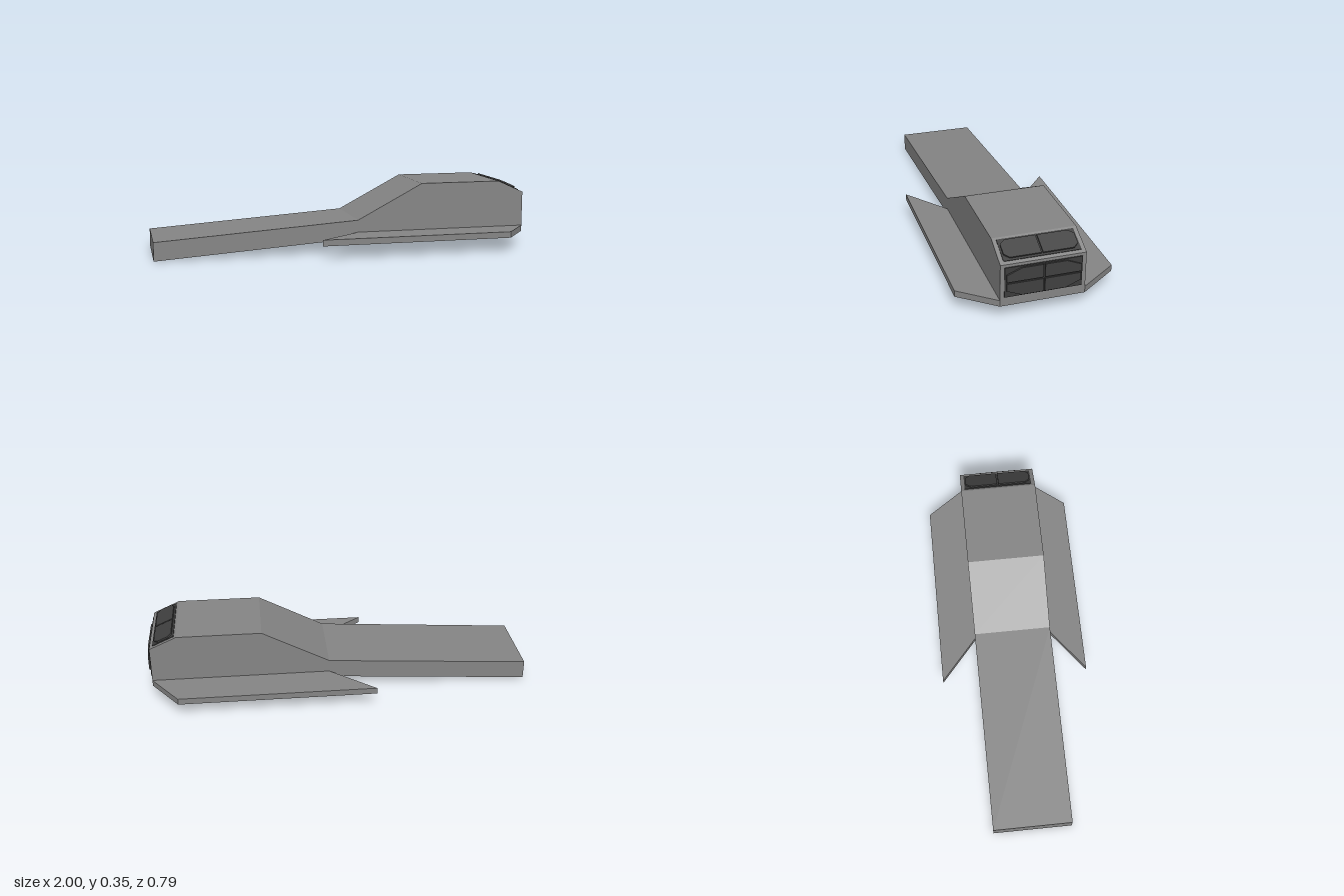
import * as THREE from 'three';

const grey = new THREE.MeshStandardMaterial({ color: 0x858585, flatShading: true });
const frameMat = new THREE.MeshStandardMaterial({ color: 0x3b3b3b, flatShading: true });
const glassMat = new THREE.MeshStandardMaterial({ color: 0x404040, flatShading: true });

const Z_MID = 0.01; // centre plane of the hull
const HALF = 0.207; // half width of the hull

function prism(name, points, depth, material) {
  const shape = new THREE.Shape(points.map(([x, y]) => new THREE.Vector2(x, y)));
  const geo = new THREE.ExtrudeGeometry(shape, { depth, bevelEnabled: false });
  const mesh = new THREE.Mesh(geo, material);
  mesh.name = name;
  return mesh;
}

// Framed window facing local +z: a flat panel with raised, corner-cut panes
function framedWindow(name, width, height, paneW, paneH, cutX, cutY, rows) {
  const group = new THREE.Group();
  group.name = name;
  const panel = new THREE.Mesh(new THREE.BoxGeometry(width, height, 0.01), frameMat);
  panel.name = 'windowFrame';
  group.add(panel);
  const w = paneW / 2, h = paneH / 2, gap = 0.004;
  for (const sx of [-1, 1]) {
    for (const sy of rows === 2 ? [-1, 1] : [1]) {
      const top = [[w, h - cutY], [w - cutX, h], [gap, h]];
      const bottom = rows === 2
        ? [[gap, gap], [w, gap]]
        : [[gap, -h], [w - cutX, -h], [w, cutY - h]];
      const pane = prism('windowPane', [...bottom, ...top].map(([x, y]) => [x * sx, y * sy]), 0.008, glassMat);
      pane.position.z = 0.005;
      group.add(pane);
    }
  }
  return group;
}

export function createModel() {
  const model = new THREE.Group();

  // Hull: side profile with cabin and long sloping tail
  const hull = prism('hull', [
    [-1, 0], [0.06, 0.073], [0.987, 0.073], [0.987, 0.29],
    [0.847, 0.353], [0.41, 0.353], [0.06, 0.169], [-1, 0.097],
  ], HALF * 2, grey);
  hull.position.z = Z_MID - HALF;
  model.add(hull);

  // Swept side wings, flush with the underside
  for (const side of [1, -1]) {
    const root = Z_MID + side * HALF, tip = side * 0.393;
    const wing = prism(side > 0 ? 'frontWing' : 'backWing', [
      [0.06, -root], [-0.17, -tip], [0.848, -tip], [0.987, -root],
    ], 0.032, grey);
    wing.rotation.x = -Math.PI / 2;
    wing.position.y = 0.073;
    model.add(wing);
  }

  // Nose window
  const nose = framedWindow('noseWindow', 0.374, 0.155, 0.358, 0.142, 0.072, 0.03, 2);
  nose.rotation.y = Math.PI / 2;
  nose.position.set(0.987, 0.198, Z_MID);
  model.add(nose);

  // Window on the sloping edge above the nose
  const slope = framedWindow('slopeWindow', 0.374, 0.122, 0.358, 0.1, 0.025, 0.022, 1);
  slope.rotation.set(-Math.atan2(0.14, 0.063), Math.PI / 2, 0, 'YXZ');
  slope.position.set(0.914, 0.321, Z_MID);
  model.add(slope);

  return model;
}
